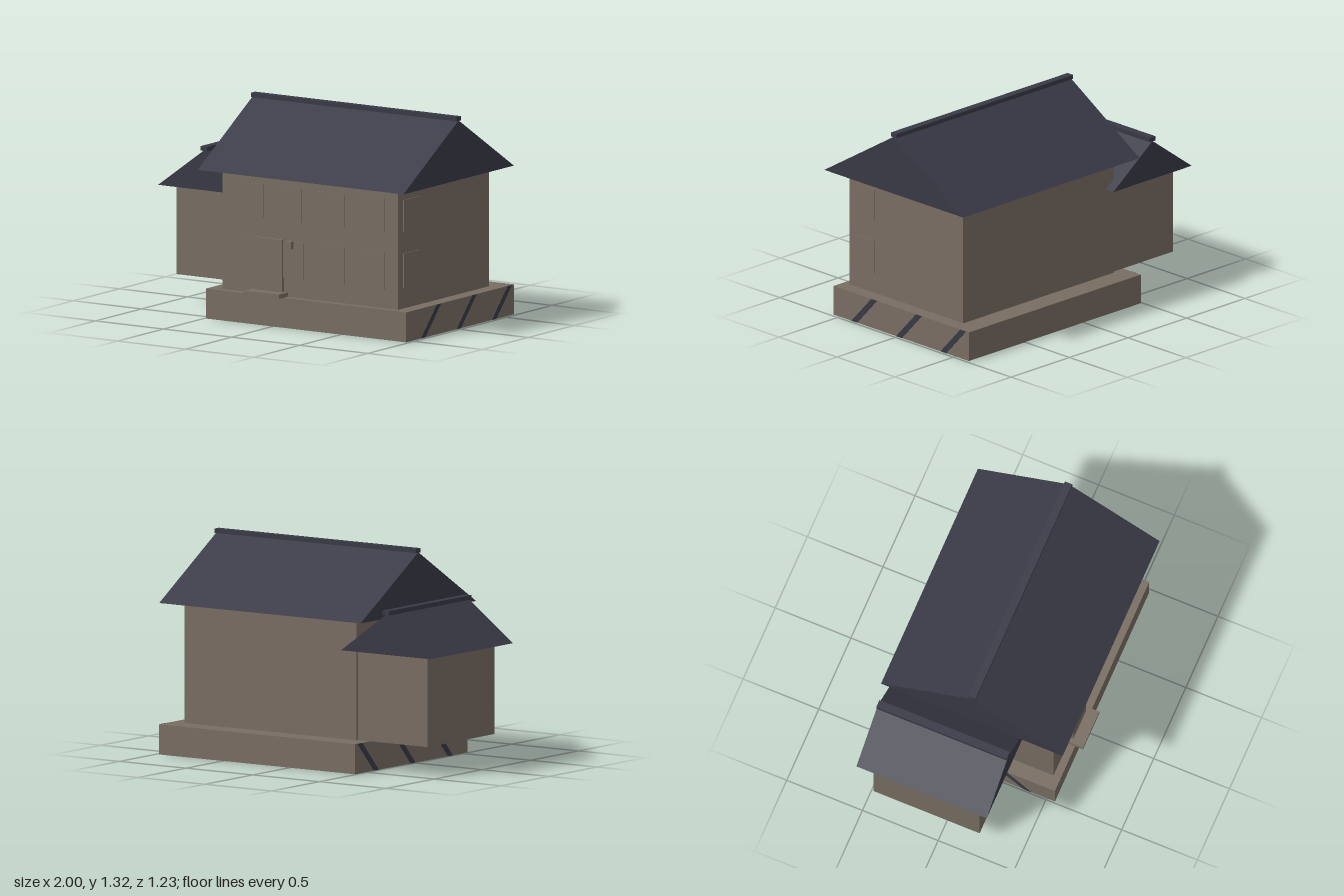
import * as THREE from 'three';

const wall = new THREE.MeshStandardMaterial({ color: 0x786d62 });
wall.name = 'stone brown';
const slate = new THREE.MeshStandardMaterial({ color: 0x393946 });
slate.name = 'dark slate';

export function createModel() {
  const house = new THREE.Group();
  house.name = 'house';

  const add = (name, geometry, material) => {
    const mesh = new THREE.Mesh(geometry, material);
    mesh.name = name;
    house.add(mesh);
    return mesh;
  };

  // Box given by its limits on each axis
  const box = (name, [x0, x1], [y0, y1], [z0, z1], material = wall) => {
    const mesh = add(name, new THREE.BoxGeometry(x1 - x0, y1 - y0, z1 - z0), material);
    mesh.position.set((x0 + x1) / 2, (y0 + y1) / 2, (z0 + z1) / 2);
    return mesh;
  };

  // Flat outline pulled along z
  const prism = (points, depth) => new THREE.ExtrudeGeometry(
    new THREE.Shape(points.map(([a, b]) => new THREE.Vector2(a, b))),
    { depth, bevelEnabled: false });

  // Plinth and wall blocks
  box('plinth', [-0.49, 0.98], [0, 0.185], [-0.615, 0.555]);
  box('mainWalls', [-0.4, 0.89], [0.185, 0.93], [-0.475, 0.508]);
  box('wingWalls', [-0.92, -0.4], [0.185, 0.745], [-0.46, 0.24]);

  // Main gable roof, ridge along x (outline's first axis becomes -z)
  const mainRoof = add('mainRoof',
    prism([[-0.615, 0.925], [0.585, 0.925], [-0.015, 1.293]], 1.51), slate);
  mainRoof.rotation.y = Math.PI / 2;
  mainRoof.position.x = -0.51;
  box('mainRidgeCap', [-0.51, 1], [1.29, 1.316], [-0.01, 0.038], slate);

  // Wing gable roof, ridge along z
  const wingRoof = add('wingRoof',
    prism([[-1, 0.74], [-0.33, 0.74], [-0.665, 0.985]], 0.86), slate);
  wingRoof.position.z = -0.54;
  box('wingRidgeCap', [-0.69, -0.64], [0.983, 1.01], [-0.54, 0.32], slate);

  // Entrance
  box('door', [-0.145, 0.05], [0.21, 0.535], [0.5, 0.53]);
  box('doorStep', [-0.175, 0.08], [0.185, 0.212], [0.5, 0.607]);
  box('wallLamp', [0.09, 0.125], [0.487, 0.533], [0.5, 0.543]);

  // Window plates on the front and on the left gable wall
  const upper = [0.655, 0.86], lower = [0.3, 0.53];
  for (const span of [[-0.3, -0.1], [-0.02, 0.18], [0.3, 0.5], [0.59, 0.79]]) {
    box('upperWindow', span, upper, [0.506, 0.514]);
  }
  for (const span of [[-0.29, -0.145], [0.05, 0.195], [0.3, 0.5], [0.59, 0.79]]) {
    box('lowerWindow', span, lower, [0.506, 0.514]);
  }
  for (const height of [[0.66, 0.855], [0.31, 0.525]]) {
    box('sideWindow', [0.888, 0.895], height, [0.29, 0.455]);
  }

  // Slanted dark bands on both ends of the plinth
  for (const x of [-0.492, 0.976]) {
    for (const z of [0.4, 0.013, -0.37]) {
      const band = add('plinthBand',
        prism([[-z, 0], [0.05 - z, 0], [0.222 - z, 0.185], [0.172 - z, 0.185]], 0.006), slate);
      band.rotation.y = Math.PI / 2;
      band.position.x = x;
    }
  }

  return house;
}
